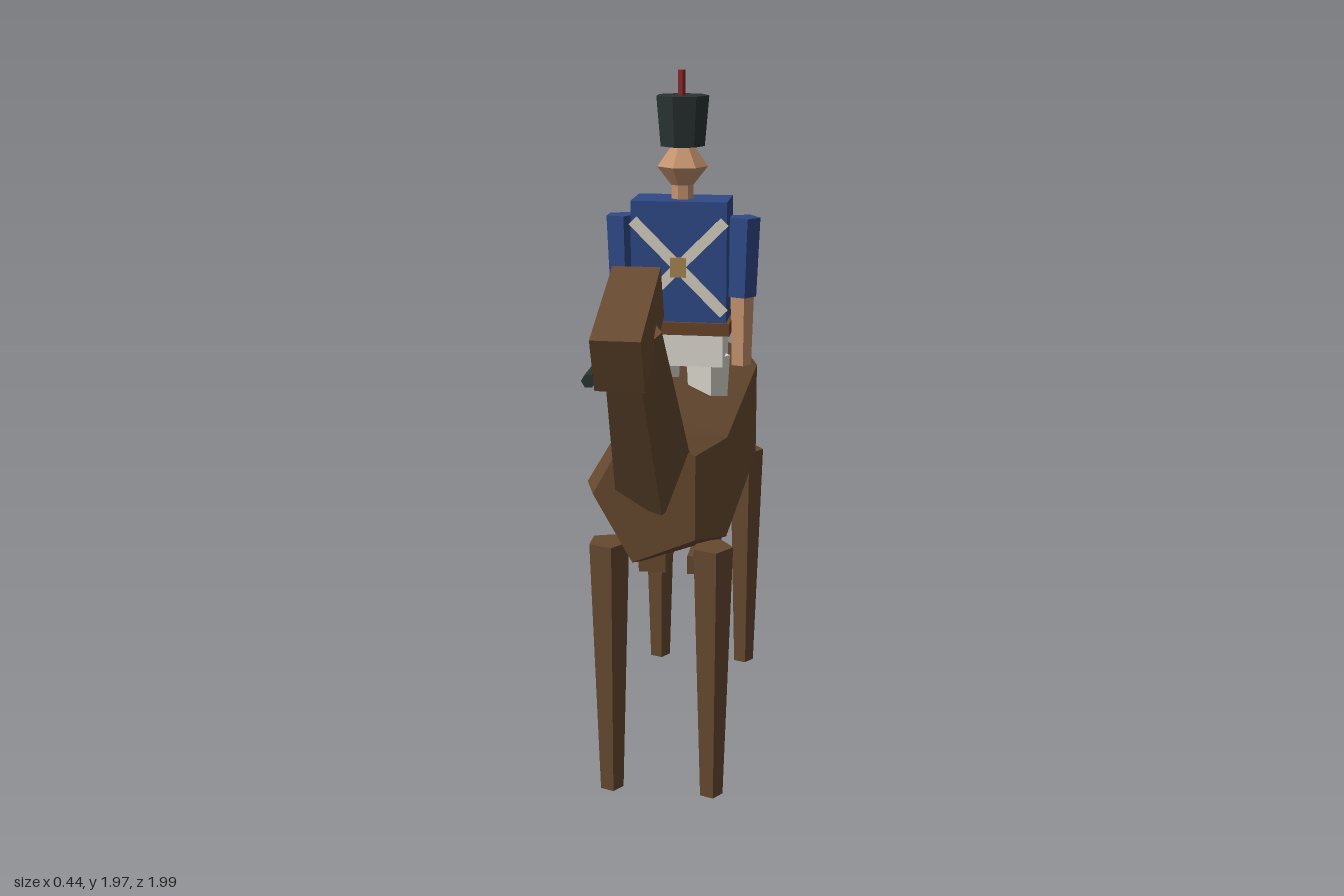
import * as THREE from 'three';

const mat = (name, color) => {
  const m = new THREE.MeshStandardMaterial({ color, flatShading: true });
  m.name = name;
  return m;
};

export function createModel() {
  const brown = mat('horse brown', 0x674a30);
  const belt = mat('belt brown', 0x6b4428);
  const blue = mat('coat blue', 0x304a88);
  const skin = mat('skin', 0xc6946e);
  const white = mat('trouser white', 0xdedbd0);
  const cream = mat('strap cream', 0xd6d1c0);
  const black = mat('hat black', 0x2a3333);
  const gold = mat('buckle gold', 0xa8854f);
  const red = mat('plume red', 0x8c2626);

  const horse = new THREE.Group();
  horse.name = 'horse';
  const rider = new THREE.Group();
  rider.name = 'rider';

  const add = (parent, name, geo, material) => {
    const m = new THREE.Mesh(geo, material);
    m.name = name;
    parent.add(m);
    return m;
  };
  const box = (parent, name, material, size, pos) => {
    const m = add(parent, name, new THREE.BoxGeometry(...size), material);
    m.position.set(...pos);
    return m;
  };
  // Tapered prism between two points, one corner pointing to +x
  const limb = (parent, name, material, from, to, r0, r1, sides = 5) => {
    const a = new THREE.Vector3(...from), b = new THREE.Vector3(...to);
    const dir = b.clone().sub(a);
    const geo = new THREE.CylinderGeometry(r1, r0, dir.length(), sides, 1, false, Math.PI / 2);
    const m = add(parent, name, geo, material);
    m.position.copy(a).add(b).multiplyScalar(0.5);
    m.quaternion.setFromUnitVectors(new THREE.Vector3(0, 1, 0), dir.normalize());
    return m;
  };

  // Horse barrel: pentagonal sections [z, centre y, x radius, y radius]
  const sections = [
    [-0.72, 0.917, 0.147, 0.18],
    [-0.48, 0.885, 0.22, 0.254],
    [0.30, 0.888, 0.212, 0.24],
    [0.55, 0.94, 0.147, 0.193],
  ];
  const pos = [], idx = [], n = 5, last = (sections.length - 1) * n;
  for (const [z, cy, rx, ry] of sections) {
    for (let i = 0; i < n; i++) {
      const a = (i / n) * Math.PI * 2;
      pos.push(-rx * Math.cos(a), cy + ry * Math.sin(a), z);
    }
  }
  for (let k = 0; k < last; k += n) {
    for (let i = 0; i < n; i++) {
      const a = k + i, b = k + (i + 1) % n;
      idx.push(a, a + n, b, b, a + n, b + n);
    }
  }
  for (let i = 1; i < n - 1; i++) {
    idx.push(0, i, i + 1, last, last + i + 1, last + i);
  }
  const indexed = new THREE.BufferGeometry();
  indexed.setAttribute('position', new THREE.Float32BufferAttribute(pos, 3));
  indexed.setIndex(idx);
  const barrel = indexed.toNonIndexed();
  barrel.computeVertexNormals();
  add(horse, 'horseBody', barrel, brown);

  // Horse neck, head, tail and legs
  limb(horse, 'horseNeck', brown, [0, 0.954, 0.472], [0, 1.43, 0.80], 0.112, 0.074);
  box(horse, 'horseHead', brown, [0.115, 0.138, 0.306], [0, 1.445, 0.828]).rotation.x = 0.377;
  limb(horse, 'horseTail', brown, [0, 0.855, -0.735], [0, 0.42, -0.97], 0.035, 0.035);
  for (const x of [-0.142, 0.142]) {
    for (const z of [0.375, -0.512]) {
      limb(horse, z > 0 ? 'frontLeg' : 'hindLeg', brown, [x, 0, z], [x, 0.745, z], 0.034, 0.057);
    }
  }

  // Rider legs, arms and feet
  const cz = -0.05;
  for (const s of [-1, 1]) {
    const side = s > 0 ? 'left' : 'right';
    limb(rider, side + 'Leg', white, [s * 0.072, 0.78, cz], [s * 0.072, 1.17, cz], 0.045, 0.067);
    limb(rider, side + 'Boot', brown, [s * 0.072, 0.57, cz], [s * 0.072, 0.78, cz], 0.045, 0.05);
    box(rider, side + 'Foot', brown, [0.08, 0.056, 0.18], [s * 0.072, 0.563, -0.02]);
    limb(rider, side + 'Sleeve', blue, [s * 0.17, 1.345, cz], [s * 0.175, 1.57, cz], 0.042, 0.046);
    limb(rider, side + 'Forearm', skin, [s * 0.17, 1.145, cz], [s * 0.17, 1.36, cz], 0.03, 0.036);
  }

  // Trunk
  box(rider, 'hips', white, [0.25, 0.11, 0.14], [0, 1.205, cz]);
  box(rider, 'belt', belt, [0.29, 0.036, 0.17], [0, 1.262, cz]);
  box(rider, 'torso', blue, [0.27, 0.345, 0.15], [0, 1.447, cz]);

  // Crossed chest straps and buckle
  for (const s of [-1, 1]) {
    box(rider, 'chestStrap', cream, [0.03, 0.365, 0.008], [0, 1.437, 0.028 + s * 0.001]).rotation.z = s * Math.PI / 4;
  }
  box(rider, 'buckle', gold, [0.045, 0.055, 0.009], [0, 1.437, 0.034]);

  // Head, hat and plume
  limb(rider, 'neck', skin, [0, 1.61, cz], [0, 1.67, cz], 0.032, 0.032, 7);
  limb(rider, 'jaw', skin, [0, 1.645, cz], [0, 1.71, cz], 0.022, 0.073, 7);
  limb(rider, 'brow', skin, [0, 1.71, cz], [0, 1.775, cz], 0.073, 0.025, 7);
  limb(rider, 'hat', black, [0, 1.765, cz], [0, 1.903, cz], 0.063, 0.075, 7);
  limb(rider, 'plume', red, [0, 1.89, -0.035], [0, 1.972, -0.035], 0.011, 0.011);

  // Musket held in the right hand
  box(rider, 'musketStock', black, [0.04, 0.08, 0.305], [-0.168, 1.21, 0.0675]);
  limb(rider, 'musketBarrel', black, [-0.166, 1.223, 0.21], [-0.166, 1.223, 0.49], 0.019, 0.019, 6);

  const model = new THREE.Group();
  model.name = 'mountedSoldier';
  model.add(horse, rider);
  return model;
}
